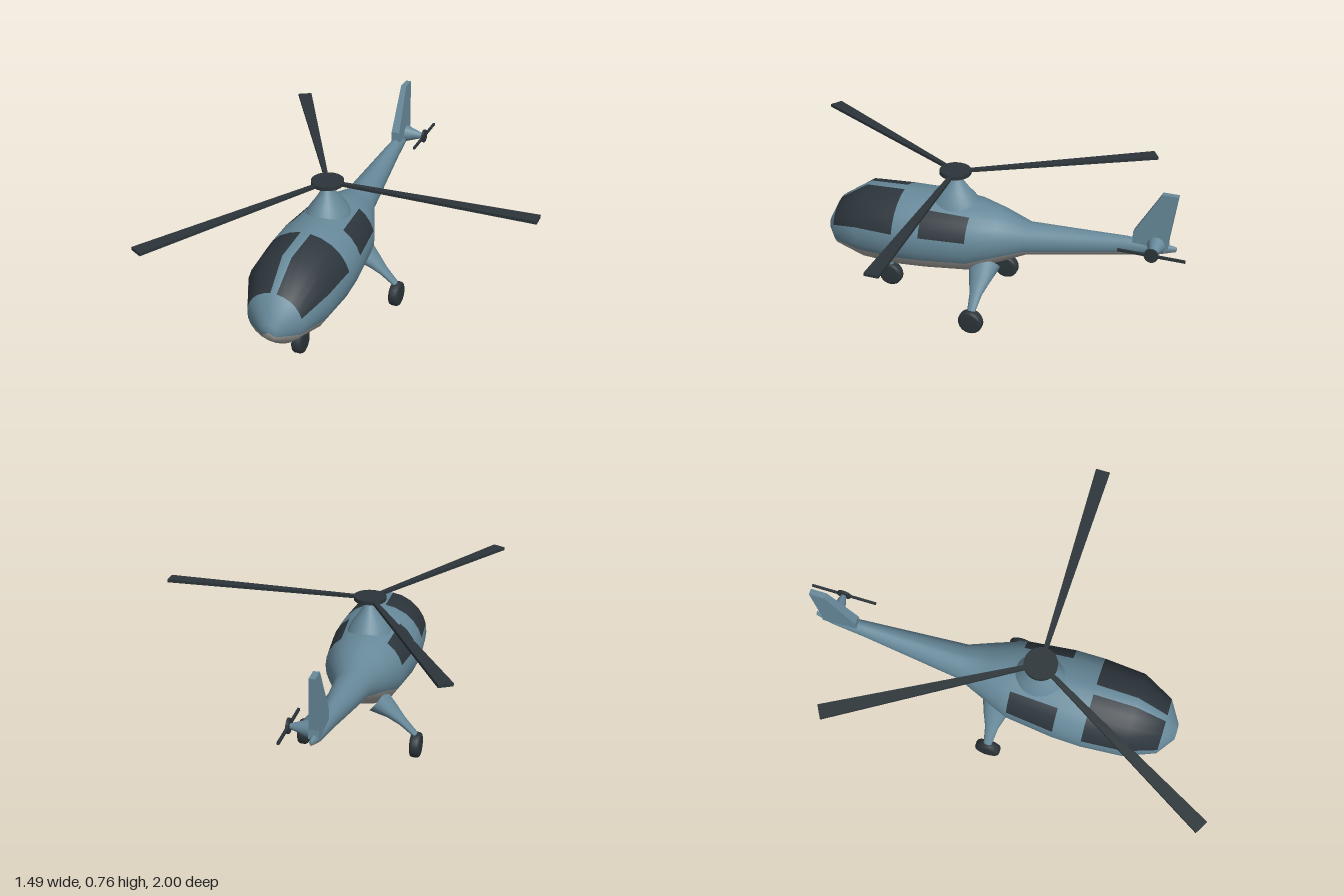
import * as THREE from 'three';

const mat = (name, color) => {
  const m = new THREE.MeshStandardMaterial({ color });
  m.name = name;
  return m;
};

// Skins elliptical rings {c, u, v}; angle 0 points along v, 90 degrees along u.
// pick(ring, angle) gives the material index of a face.
function loft(rings, angles, pick = () => 0) {
  const pos = [], lists = [[], [], []], n = angles.length;
  for (const { c, u, v } of rings) {
    for (const deg of angles) {
      const t = THREE.MathUtils.degToRad(deg);
      pos.push(...c.clone().addScaledVector(u, Math.sin(t)).addScaledVector(v, Math.cos(t)).toArray());
    }
  }
  for (let i = 0; i < rings.length - 1; i++) {
    for (let j = 0; j < n; j++) {
      const k = (j + 1) % n;
      const mid = (angles[j] + (k ? angles[k] : 360)) / 2;
      const a = i * n + j, b = i * n + k;
      lists[pick(i, Math.min(mid, 360 - mid))].push(a, b, a + n, b, b + n, a + n);
    }
  }
  const geo = new THREE.BufferGeometry();
  geo.setAttribute('position', new THREE.Float32BufferAttribute(pos, 3));
  geo.setIndex(lists.flat());
  let start = 0;
  lists.forEach((l, m) => {
    if (l.length) geo.addGroup(start, l.length, m);
    start += l.length;
  });
  geo.computeVertexNormals();
  return geo;
}

export function createModel() {
  const blue = mat('blue paint', 0x67899a);
  const grey = mat('grey belly', 0xa6a5a1);
  const glass = mat('dark glass', 0x2d363d);
  const dark = mat('dark rubber and rotor', 0x2c353a);
  const V = (x, y, z) => new THREE.Vector3(x, y, z);

  const model = new THREE.Group();
  model.name = 'helicopter';
  model.position.x = -0.232;
  const add = (name, geo, material, parent = model) => {
    const mesh = new THREE.Mesh(geo, material);
    mesh.name = name;
    parent.add(mesh);
    return mesh;
  };

  // Fuselage and tail boom: z, top, bottom, half width
  const stations = [
    [0.79, 0.296, 0.296, 0], [0.788, 0.335, 0.258, 0.036], [0.725, 0.455, 0.203, 0.13],
    [0.58, 0.557, 0.17, 0.195], [0.385, 0.568, 0.168, 0.21], [0.25, 0.572, 0.18, 0.208],
    [0.025, 0.56, 0.206, 0.183], [-0.1, 0.533, 0.265, 0.135], [-0.235, 0.49, 0.33, 0.082],
    [-0.7, 0.515, 0.422, 0.036], [-0.86, 0.51, 0.455, 0.024], [-0.935, 0.505, 0.48, 0.008],
    [-0.938, 0.492, 0.492, 0],
  ];
  const half = [6.5, 20, 36, 50, 64, 77, 90, 103, 116, 132, 148, 164];
  const angles = [0, ...half, 180, ...half.map((a) => 360 - a).reverse()];
  const hull = stations.map(([z, top, bottom, w]) => ({
    c: V(0, (top + bottom) / 2, z), u: V(w, 0, 0), v: V(0, (top - bottom) / 2, 0),
  }));
  add('fuselage', loft(hull, angles, (i, a) => {
    if (a > 116) return 1;
    if ((i === 2 || i === 3) && a > 6.5 && a < 77) return 2; // windshield
    if (i === 5 && a > 36 && a < 77) return 2; // side window
    return 0;
  }), [blue, grey, glass]);

  // Rotor pylon
  const pylonProfile = [[0.13, 0.53], [0.108, 0.572], [0.075, 0.608], [0.05, 0.64], [0.032, 0.665], [0.016, 0.692]];
  const pylon = add('rotorPylon',
    new THREE.LatheGeometry(pylonProfile.map(([r, y]) => new THREE.Vector2(r, y)), 24), blue);
  pylon.position.z = 0.135;
  pylon.scale.x = 0.8;

  // Main rotor with three widening blades
  const rotor = new THREE.Group();
  rotor.name = 'mainRotor';
  rotor.position.set(0, 0.698, 0.133);
  model.add(rotor);
  add('rotorHub', new THREE.CylinderGeometry(0.075, 0.075, 0.018, 24), dark, rotor);
  for (let k = 0; k < 3; k++) {
    const geo = new THREE.BoxGeometry(0.94, 0.014, 0.066).translate(0.507, 0, 0);
    const p = geo.attributes.position;
    for (let i = 0; i < p.count; i++) if (p.getX(i) < 0.5) p.setZ(i, p.getZ(i) * 0.28);
    geo.computeVertexNormals();
    add('rotorBlade', geo, dark, rotor).rotation.y = (k * Math.PI * 2) / 3;
  }

  // Tail fin, thinner towards the top
  const finShape = new THREE.Shape([
    [0.735, 0.49], [0.9, 0.49], [0.897, 0.53], [0.925, 0.765], [0.852, 0.765], [0.735, 0.555],
  ].map(([x, y]) => new THREE.Vector2(x, y)));
  const fin = new THREE.ExtrudeGeometry(finShape, { depth: 0.046, bevelEnabled: false })
    .translate(0, 0, -0.023).rotateY(Math.PI / 2);
  const fp = fin.attributes.position;
  for (let i = 0; i < fp.count; i++) fp.setX(i, fp.getX(i) * (1 - 1.5 * (fp.getY(i) - 0.49)));
  fin.computeVertexNormals();
  add('tailFin', fin, blue);

  // Tail rotor on a short cone at the model's left
  const tail = new THREE.Group();
  tail.name = 'tailRotor';
  tail.position.set(0.117, 0.508, -0.845);
  model.add(tail);
  add('tailRotorMount', new THREE.CylinderGeometry(0.01, 0.044, 0.1, 16)
    .rotateZ(-Math.PI / 2).translate(-0.052, 0, 0), blue, tail);
  add('tailRotorHub', new THREE.CylinderGeometry(0.033, 0.033, 0.012, 16).rotateZ(Math.PI / 2), dark, tail);
  add('tailRotorBlades', new THREE.BoxGeometry(0.01, 0.012, 0.31), dark, tail);

  // Wheels with rounded shoulders
  const tyre = [[0, -0.025], [0.045, -0.025], [0.055, -0.021], [0.06, -0.012], [0.06, 0.012], [0.055, 0.021], [0.045, 0.025], [0, 0.025]];
  const wheelGeo = new THREE.LatheGeometry(tyre.map(([r, y]) => new THREE.Vector2(r, y)), 24)
    .rotateZ(Math.PI / 2);
  const wheel = (name, x, z) => add(name, wheelGeo, dark).position.set(x, 0.06, z);
  wheel('noseWheel', 0, 0.48);

  // Nose strut flaring into the belly
  const strut = [[0.013, 0.07], [0.016, 0.125], [0.02, 0.15], [0.032, 0.18], [0.045, 0.2]];
  add('noseStrut', new THREE.LatheGeometry(strut.map(([r, y]) => new THREE.Vector2(r, y)), 16), blue)
    .position.z = 0.48;

  // Main legs: offset, height, half length, half thickness
  const legRings = [
    [0.08, 0.272, 0.078, 0.06], [0.152, 0.22, 0.052, 0.032],
    [0.2, 0.175, 0.031, 0.02], [0.262, 0.115, 0.02, 0.013], [0.27, 0.085, 0.018, 0.012],
  ].map(([x, y, l, t]) => ({ c: V(x, y, -0.043), u: V(0, 0, l), v: V(t * 0.6, t * 0.8, 0) }));
  const legGeo = loft(legRings, Array.from({ length: 16 }, (_, i) => i * 22.5));
  for (const s of [1, -1]) {
    add(s > 0 ? 'leftLeg' : 'rightLeg', legGeo, blue).scale.x = s;
    wheel(s > 0 ? 'leftWheel' : 'rightWheel', s * 0.267, -0.042);
  }

  const group = new THREE.Group();
  group.add(model);
  return group;
}
